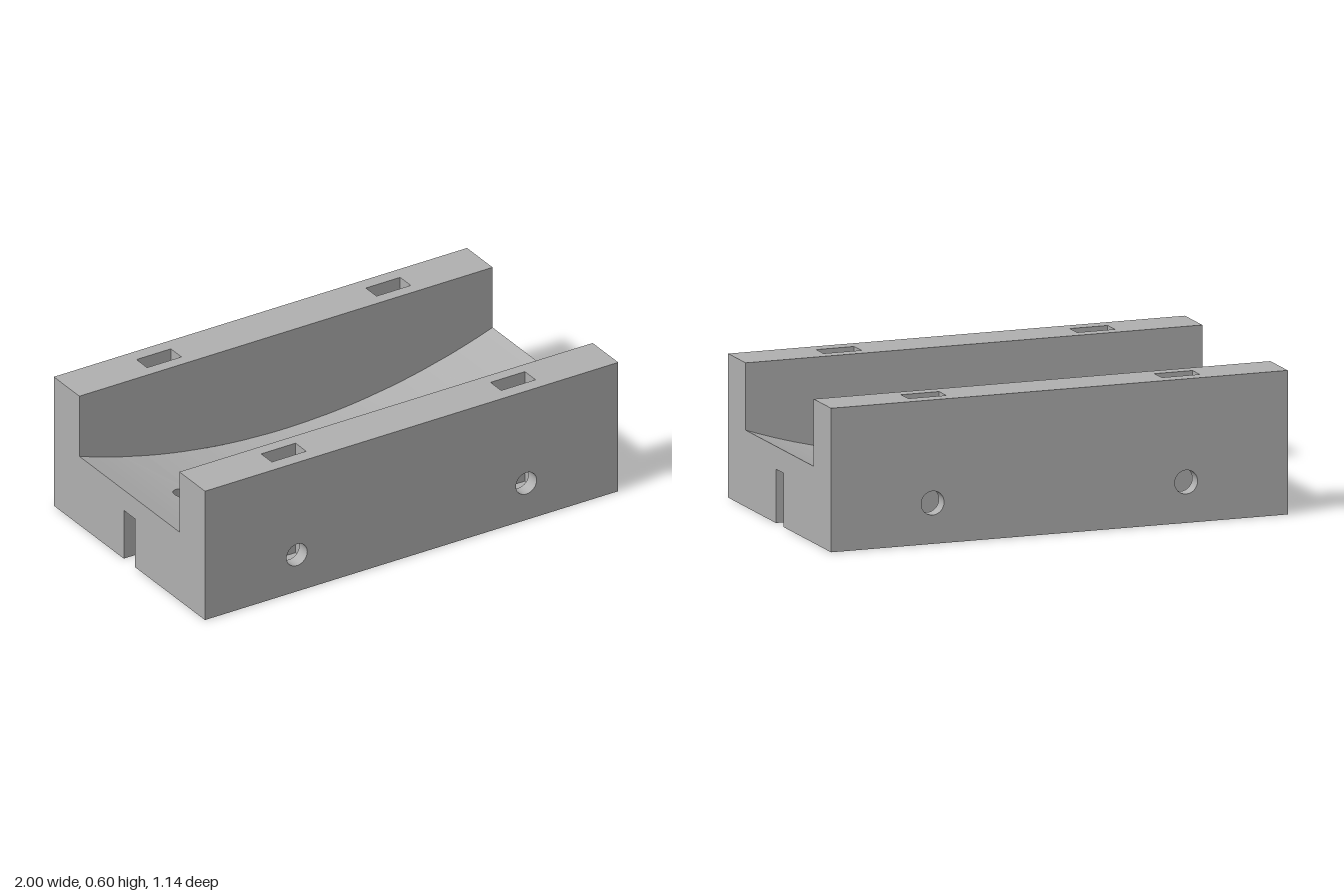
import * as THREE from 'three';
import { mergeGeometries } from 'three/addons/utils/BufferGeometryUtils.js';

const W = 0.57, H = 0.6;               // half depth and full height
const CHANNEL = 0.377, SLOT = 0.042;   // half widths of the channel and the bottom slot
const HOLE_R = 0.05, CELL = 0.056;     // vertical holes and the floor cell around each
const HOLES = [0.73, 0.438, 0.146, -0.146, -0.438, -0.73];
const SCREWS = [-0.555, 0.555], SCREW_Y = 0.17;
const POCKET = { half: 0.083, inner: 0.43, outer: 0.51, base: 0.09 };

// Concentric arcs: dished channel floor and the slot ceiling beneath it
const floorY = x => 3.18 - Math.sqrt(3.03 ** 2 - x * x);
const ceilY = x => 3.18 - Math.sqrt(3.12 ** 2 - x * x);
const flat = y => () => y;

const toShape = pts => new THREE.Shape(pts.map(p => new THREE.Vector2(...p)));
const rect = (x0, y0, x1, y1) => [[x0, y0], [x1, y0], [x1, y1], [x0, y1]];
const span = (a, b, n) => Array.from({ length: n + 1 }, (_, i) => a + (b - a) * i / n);
const arc = (cx, a0, a1, n = 12, cy = 0) =>
  span(a0, a1, n).map(a => [cx + HOLE_R * Math.cos(a), cy + HOLE_R * Math.sin(a)]);

// Flat outline (with holes) mapped into space
function face(pts, map, flip = false, holes = []) {
  const shape = toShape(pts);
  holes.forEach(h => shape.holes.push(toShape(h)));
  const g = new THREE.ShapeGeometry(shape).toNonIndexed();
  const p = g.attributes.position, out = [];
  for (let i = 0; i < p.count; i += 3)
    for (const k of flip ? [0, 2, 1] : [0, 1, 2]) out.push(...map(p.getX(i + k), p.getY(i + k)));
  return skin(out);
}

// Vertical wall over a plan path of [x, z] points
function curtain(path, lo, hi) {
  const out = [];
  for (let i = 0; i + 1 < path.length; i++) {
    const [ax, az] = path[i], [bx, bz] = path[i + 1];
    const a = [ax, lo(ax), az], b = [bx, lo(bx), bz], c = [bx, hi(bx), bz], d = [ax, hi(ax), az];
    out.push(...a, ...b, ...c, ...a, ...c, ...d);
  }
  return skin(out);
}

function skin(positions) {
  const g = new THREE.BufferGeometry();
  g.setAttribute('position', new THREE.Float32BufferAttribute(positions, 3));
  g.computeVertexNormals();
  return g;
}

const onPlan = f => (x, z) => [x, f(x), z];
const onFront = z => (x, y) => [x, y, z];

// Plain stretches of the floor between the drilled cells, from +x to -x
function gaps(margin) {
  const edges = [1, ...HOLES.flatMap(c => [c + margin, c - margin]), -1];
  return Array.from({ length: HOLES.length + 1 }, (_, i) => span(edges[2 * i], edges[2 * i + 1], 5));
}

function createHalf(material) {
  const half = new THREE.Group();
  const add = (name, ...geometries) => {
    const mesh = new THREE.Mesh(mergeGeometries(geometries), material);
    mesh.name = name;
    half.add(mesh);
  };
  const A = Math.asin(SLOT / HOLE_R), notchX = HOLE_R * Math.cos(A);
  const circles = SCREWS.map(x => arc(x, 0, Math.PI * 2, 32, SCREW_Y).slice(0, -1));

  // Outer face, rail top, bottom and end
  add('outerSide', face(rect(-1, 0, 1, H), onFront(W), false, circles));
  add('railTop', face(rect(-1, CHANNEL, 1, W), onPlan(flat(H)), true,
    SCREWS.map(x => rect(x - POCKET.half, POCKET.inner, x + POCKET.half, POCKET.outer))));
  add('underside', face([[1, SLOT], ...HOLES.flatMap(c => arc(c, A, Math.PI - A)),
    [-1, SLOT], [-1, W], [1, W]], onPlan(flat(0))));
  add('endFace', face([[-W, 0], [-SLOT, 0], [-SLOT, ceilY(1)], [SLOT, ceilY(1)], [SLOT, 0], [W, 0],
    [W, H], [CHANNEL, H], [CHANNEL, floorY(1)], [-CHANNEL, floorY(1)], [-CHANNEL, H], [-W, H]],
    (z, y) => [1, y, z], true));
  add('channelWall', curtain(span(1, -1, 48).map(x => [x, CHANNEL]), floorY, flat(H)));

  // Dished floor and slot ceiling, in narrow columns
  const floor = [], ceiling = [], slotWalls = [], bores = [];
  gaps(CELL).forEach(xs => xs.slice(1).forEach((x, i) => {
    floor.push(face(rect(x, 0, xs[i], CHANNEL), onPlan(floorY), true));
    ceiling.push(face(rect(x, 0, xs[i], SLOT), onPlan(ceilY)));
  }));
  HOLES.forEach(c => {
    floor.push(face([[c + CELL, 0], ...arc(c, 0, Math.PI, 24), [c - CELL, 0],
      [c - CELL, CHANNEL], [c + CELL, CHANNEL]], onPlan(floorY), true));
    ceiling.push(
      face([[c + CELL, 0], ...arc(c, 0, A), [c + CELL, SLOT]], onPlan(ceilY)),
      face([[c - CELL, SLOT], ...arc(c, Math.PI - A, Math.PI), [c - CELL, 0]], onPlan(ceilY)));
    // The hole is wider than the slot, so it also notches the slot walls
    bores.push(
      curtain(arc(c, 0, A), ceilY, floorY),
      curtain(arc(c, A, Math.PI - A), flat(0), floorY),
      curtain(arc(c, Math.PI - A, Math.PI), ceilY, floorY));
  });
  gaps(notchX).forEach(xs => slotWalls.push(curtain(xs.map(x => [x, SLOT]), flat(0), ceilY)));
  add('channelFloor', ...floor);
  add('slotCeiling', ...ceiling);
  add('slotWall', ...slotWalls);
  add('drainHoles', ...bores);

  // Nut pockets reached by screw holes from the outside
  SCREWS.forEach((x, i) => {
    const { half: h, inner, outer, base } = POCKET;
    add('nutPocket',
      curtain([[x - h, outer], [x - h, inner], [x + h, inner], [x + h, outer]], flat(base), flat(H)),
      face(rect(x - h, base, x + h, H), onFront(outer), true, [circles[i]]),
      face(rect(x - h, inner, x + h, outer), onPlan(flat(base)), true));
    const bore = new THREE.CylinderGeometry(HOLE_R, HOLE_R, W - outer, 32, 1, true);
    bore.rotateX(Math.PI / 2).translate(x, SCREW_Y, (W + outer) / 2);
    add('screwHole', bore);
  });
  return half;
}

export function createModel() {
  const model = new THREE.Group();
  model.name = 'channelBlock';
  const grey = new THREE.MeshStandardMaterial({ color: 0xb0b0b0, side: THREE.DoubleSide });
  grey.name = 'grey';
  const front = createHalf(grey), back = createHalf(grey);
  front.name = 'frontHalf';
  back.name = 'backHalf';
  back.rotation.y = Math.PI;
  model.add(front, back);
  return model;
}
